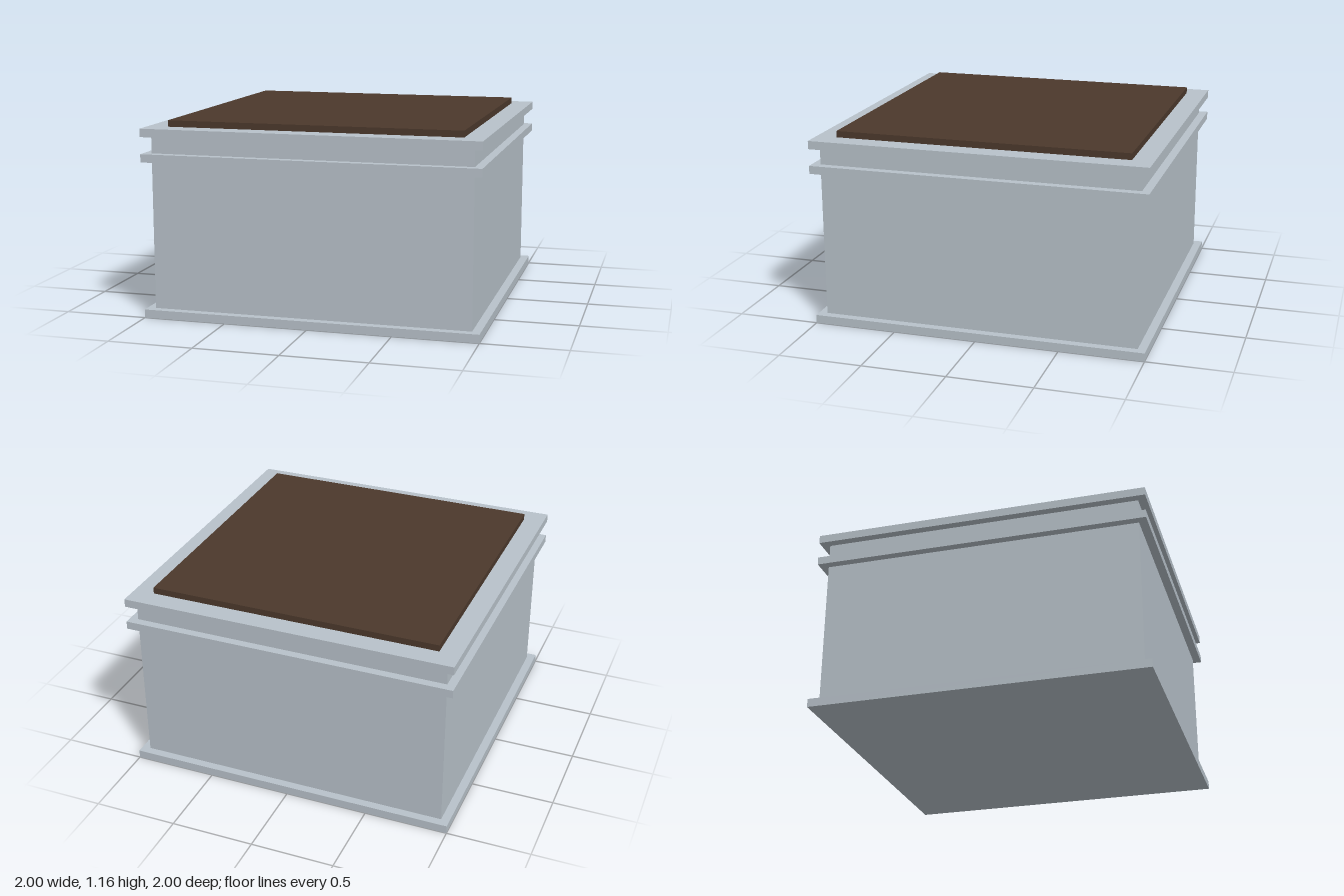
import * as THREE from 'three';

export function createModel() {
  const group = new THREE.Group();
  const metal = new THREE.MeshStandardMaterial({ color: 0xb8c2ca });
  metal.name = 'pale grey metal';
  const soil = new THREE.MeshStandardMaterial({ color: 0x4c392c });
  soil.name = 'dark brown soil';

  // Square slab between two heights
  const slab = (name, width, bottom, top, material) => {
    const mesh = new THREE.Mesh(new THREE.BoxGeometry(width, top - bottom, width), material);
    mesh.position.y = (bottom + top) / 2;
    mesh.name = name;
    group.add(mesh);
  };

  // Planter walls, with the projecting bands around them
  slab('baseBand', 2, 0, 0.05, metal);
  slab('lowerWall', 1.9, 0.05, 0.93, metal);
  slab('middleBand', 2, 0.93, 0.978, metal);
  slab('upperWall', 1.9, 0.978, 1.078, metal);
  slab('rimBand', 2, 1.078, 1.127, metal);

  // Raised soil bed on top
  slab('soilBed', 1.75, 1.127, 1.165, soil);

  return group;
}
